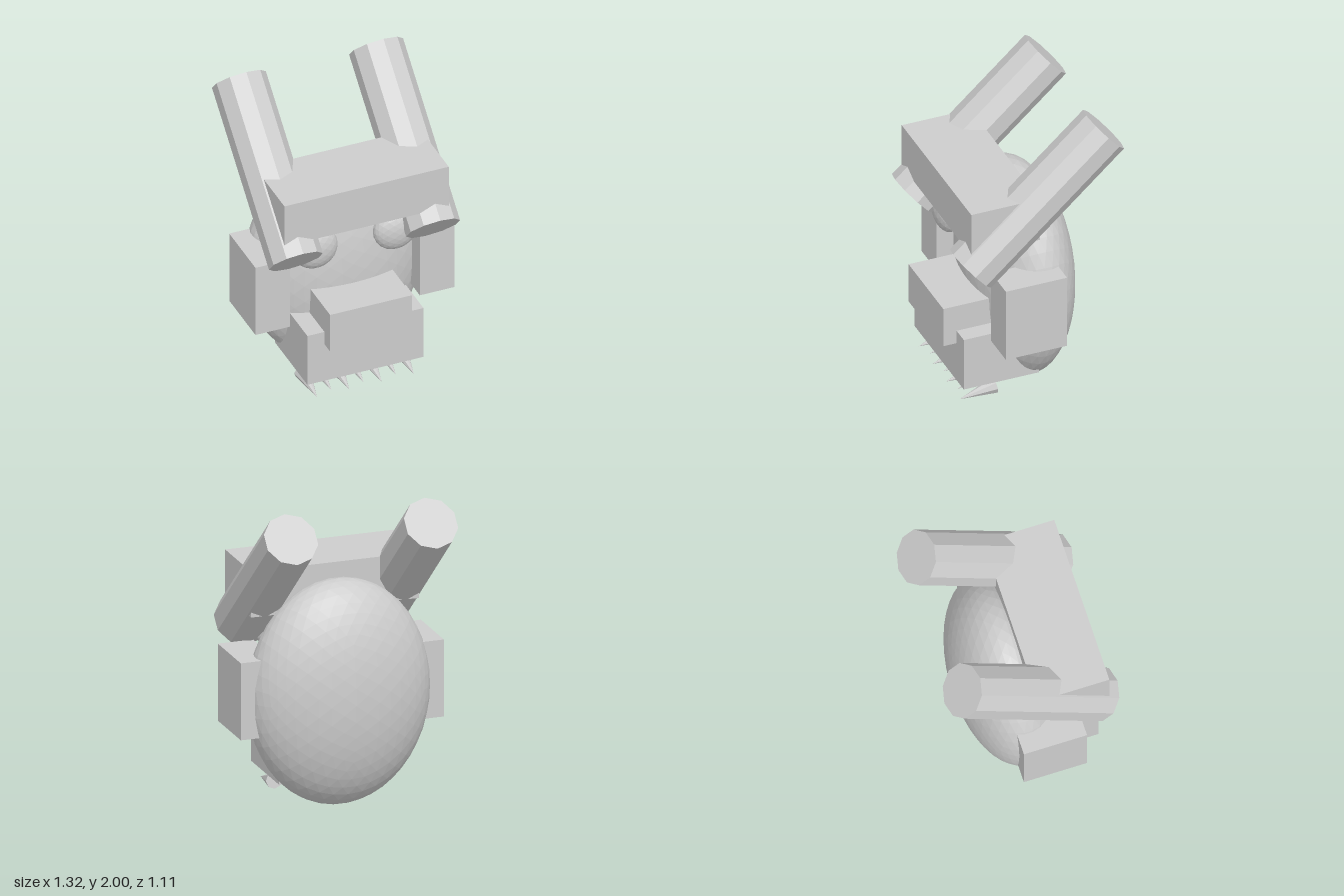
import * as THREE from 'three';

export function createModel() {
  const model = new THREE.Group();
  const grey = new THREE.MeshStandardMaterial({ color: 0xcccccc });
  grey.name = 'plain grey';

  // Faceted normals for the low-poly look
  const faceted = (geometry) => {
    const flat = geometry.index ? geometry.toNonIndexed() : geometry;
    flat.computeVertexNormals();
    return flat;
  };

  const add = (name, geometry, x, y, z) => {
    const mesh = new THREE.Mesh(geometry, grey);
    mesh.name = name;
    mesh.position.set(x, y, z);
    model.add(mesh);
    return mesh;
  };

  // Box given by its limits on each axis
  const block = (name, [x0, x1], [y0, y1], [z0, z1]) =>
    add(name, new THREE.BoxGeometry(x1 - x0, y1 - y0, z1 - z0),
      (x0 + x1) / 2, (y0 + y1) / 2, (z0 + z1) / 2);

  const ellipsoid = (name, detail, [rx, ry, rz], x, y, z) =>
    add(name, faceted(new THREE.IcosahedronGeometry(1, detail).scale(rx, ry, rz)), x, y, z);

  // Head, brow, snout and jaw
  ellipsoid('head', 7, [0.585, 0.722, 0.32], 0, 0.727, -0.04);
  block('brow', [-0.545, 0.545], [1.24, 1.535], [0.02, 0.475]);
  block('snout', [-0.272, 0.272], [0.435, 0.705], [0.14, 0.545]);
  block('jaw', [-0.385, 0.385], [0.165, 0.525], [-0.04, 0.457]);

  // Paired parts
  for (const [side, s] of [['left', 1], ['right', -1]]) {
    const span = (a, b) => (s > 0 ? [a, b] : [-b, -a]);
    block(side + 'Cheek', span(0.43, 0.66), [0.505, 1.0], [-0.11, 0.295]);
    block(side + 'Eyelid', span(0.115, 0.415), [1.21, 1.27], [0.2, 0.42]);
    ellipsoid(side + 'Eye', 3, [0.145, 0.145, 0.08], s * 0.265, 1.05, 0.3);

    // Ten-sided horn sloping up and back
    const horn = add(side + 'Horn',
      faceted(new THREE.CylinderGeometry(0.172, 0.172, 1.183, 10)), s * 0.455, 1.48, 0.002);
    horn.rotation.x = Math.atan2(-0.88, 0.79);
  }

  // Row of forward-pointing teeth, alternating in size
  const direction = new THREE.Vector3(0, -0.2, 1).normalize();
  const up = new THREE.Vector3(0, 1, 0);
  for (let i = -3; i <= 3; i++) {
    const large = i % 2 !== 0;
    const length = large ? 0.238 : 0.21;
    const tooth = add('tooth', faceted(new THREE.ConeGeometry(large ? 0.052 : 0.04, length, 8)),
      i * 0.107, 0.103, 0.225);
    tooth.position.addScaledVector(direction, length / 2);
    tooth.quaternion.setFromUnitVectors(up, direction);
  }

  return model;
}
